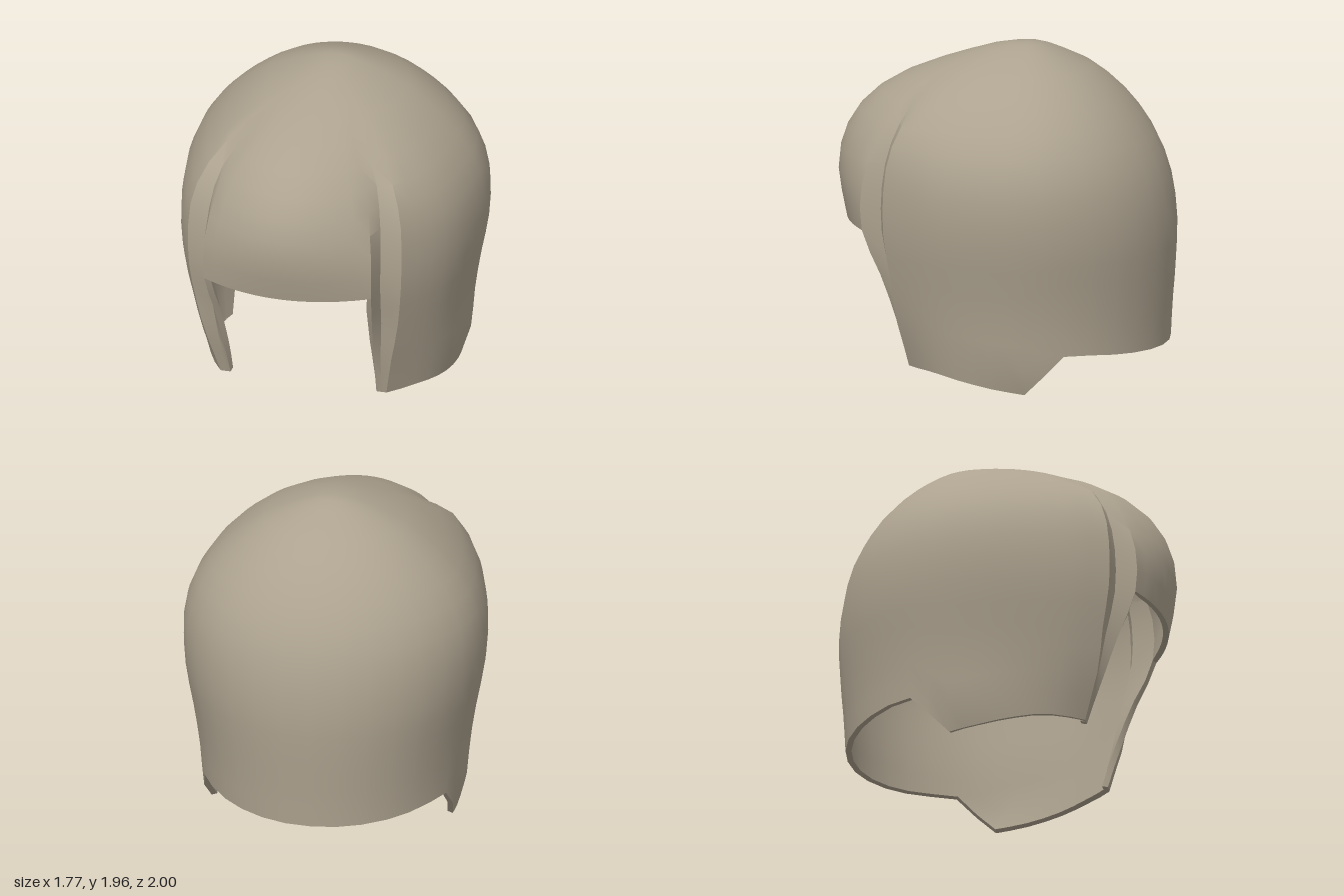
import * as THREE from 'three';
import { toCreasedNormals } from 'three/addons/utils/BufferGeometryUtils.js';

const TOP = 1.96, BROW = 0.9, MID_Z = -0.13, THICK = 0.035;

// Cross-sections: y, half width, back z, front z, brow edge x/z, cheek ridge x/z, depth of groove between them
const SECTIONS = [
  [1.96, 0, -0.13, -0.13, 0, -0.13, 0, -0.13, 0],
  [1.9, 0.24, -0.33, 0.2, 0.08, 0.18, 0.14, 0.14, 0],
  [1.83, 0.4, -0.48, 0.4, 0.2, 0.33, 0.28, 0.25, 0],
  [1.7, 0.58, -0.65, 0.69, 0.32, 0.54, 0.43, 0.42, 0.01],
  [1.55, 0.73, -0.78, 0.87, 0.42, 0.66, 0.55, 0.57, 0.025],
  [1.37, 0.84, -0.89, 0.97, 0.47, 0.76, 0.62, 0.65, 0.04],
  [1.17, 0.885, -0.96, 1.0, 0.5, 0.82, 0.64, 0.68, 0.05],
  [0.9, 0.875, -0.995, 0.95, 0.5, 0.82, 0.635, 0.68, 0.05],
  [0.6, 0.82, -0.985, 0.9, 0.47, 0.7, 0.6, 0.635, 0.03],
  [0.4, 0.79, -0.97, 0.9, 0.455, 0.63, 0.56, 0.61, 0.02],
  [0.1, 0.76, -0.955, 0.9, 0.44, 0.53, 0.5, 0.53, 0],
  [0, 0.72, -0.95, 0.9, 0.44, 0.51, 0.48, 0.52, 0],
];
const param = (y) => Math.sqrt(Math.max(0, TOP - y));

// Smooth interpolation between cross-sections
function section(y) {
  const s = param(y), n = SECTIONS.length;
  let i = 0;
  while (i < n - 2 && s > param(SECTIONS[i + 1][0])) i++;
  const at = (k) => SECTIONS[Math.min(n - 1, Math.max(0, k))];
  const p = [at(i - 1), at(i), at(i + 1), at(i + 2)], q = p.map((r) => param(r[0]));
  const h = q[2] - q[1], t = (s - q[1]) / h;
  return p[1].map((_, k) => {
    const m1 = (p[2][k] - p[0][k]) / (q[2] - q[0]) * h;
    const m2 = (p[3][k] - p[1][k]) / (q[3] - q[1]) * h;
    return (2 * t ** 3 - 3 * t * t + 1) * p[1][k] + (t ** 3 - 2 * t * t + t) * m1
      + (3 * t * t - 2 * t ** 3) * p[2][k] + (t ** 3 - t * t) * m2;
  });
}

// Point on the outer surface for one column at height y
function surfacePoint({ kind, u, sign }, y) {
  const [, hw, zb, zf, vx, vz, rx, rz, groove] = section(y);
  let x, z;
  if (kind === 'brow') {
    x = vx * u;
    z = zf - (zf - vz) * u * u;
  } else if (kind === 'groove') {
    x = (vx + rx) / 2 - groove;
    z = (vz + rz) / 2 - groove;
  } else if (kind === 'side') {
    const a0 = Math.asin(Math.min(0.99, rx / hw)), a = a0 + (Math.PI / 2 - a0) * u;
    x = hw * Math.sin(a);
    z = MID_Z + (rz - MID_Z) * Math.cos(a) / Math.cos(a0);
  } else {
    x = hw * Math.cos(u);
    z = MID_Z + (zb - MID_Z) * Math.sin(u);
  }
  // The front leans slightly to one side
  x *= sign;
  const k = THREE.MathUtils.smoothstep(z, 0.2, 0.7);
  return new THREE.Vector3(x - 0.02 * k, y, z - 0.07 * x * k);
}

// Lower edge height by depth
const HEM = [[0.53, 0.1], [0.33, 0.1], [-0.03, 0.03], [-0.22, 0], [-0.46, 0.25], [-0.95, 0.2]];
function hemHeight(z) {
  if (z >= HEM[0][0]) return HEM[0][1];
  for (let i = 1; i < HEM.length; i++) {
    const [z0, y0] = HEM[i - 1], [z1, y1] = HEM[i];
    if (z >= z1) return y0 + (y1 - y0) * (z - z0) / (z1 - z0);
  }
  return 0.2;
}

// Columns run from the brow centre round the +x side to the back, then home again
function makeColumns() {
  const half = [];
  for (let i = 0; i <= 6; i++) half.push({ kind: 'brow', u: i / 6, lower: i === 6 });
  half.push({ kind: 'groove', u: 0, lower: true });
  for (let i = 0; i < 7; i++) half.push({ kind: 'side', u: i / 7, lower: true });
  for (const u of [0, 0.105, 0.25, 0.394, 0.59, 0.79, 0.98, 1.18, 1.375, Math.PI / 2]) {
    half.push({ kind: 'back', u, lower: true });
  }
  return [
    ...half.map((c) => ({ ...c, sign: 1 })),
    ...half.slice(1, -1).reverse().map((c) => ({ ...c, sign: -1 })),
  ];
}

// Gives an open sheet an inner face and a rim along every free edge
function thicken(points, faces, depth) {
  const g = new THREE.BufferGeometry().setFromPoints(points);
  g.setIndex(faces.flat());
  g.computeVertexNormals();
  const n = points.length, normal = g.attributes.normal;
  const inner = points.map((p, i) =>
    p.clone().addScaledVector(new THREE.Vector3().fromBufferAttribute(normal, i), -depth));
  const edges = new Set();
  for (const [a, b, c] of faces) for (const [p, q] of [[a, b], [b, c], [c, a]]) edges.add(p + '_' + q);
  const all = [...faces, ...faces.map(([a, b, c]) => [a + n, c + n, b + n])];
  for (const e of edges) {
    const [a, b] = e.split('_').map(Number);
    if (!edges.has(b + '_' + a)) all.push([b, a, a + n], [b, a + n, b + n]);
  }
  const solid = new THREE.BufferGeometry().setFromPoints([...points, ...inner]);
  solid.setIndex(all.flat());
  return solid;
}

function shellGeometry() {
  const columns = makeColumns(), UPPER = 12, LOWER = 6;
  const points = [new THREE.Vector3(0, TOP, MID_Z)], faces = [];
  const ids = columns.map((col) => {
    const list = [0];
    const add = (y) => list.push(points.push(surfacePoint(col, y)) - 1);
    for (let r = 1; r <= UPPER; r++) add(BROW + (TOP - BROW) * Math.cos(r / UPPER * Math.PI / 2));
    if (col.lower) {
      let hem = 0.1;
      for (let i = 0; i < 6; i++) hem = hemHeight(surfacePoint(col, hem).z);
      for (let r = 1; r <= LOWER; r++) add(BROW + (hem - BROW) * r / LOWER);
    }
    return list;
  });
  ids.forEach((a, c) => {
    const b = ids[(c + 1) % ids.length];
    const rows = Math.min(a.length, b.length) - 1;
    for (let r = 0; r < rows; r++) {
      faces.push([a[r], a[r + 1], b[r + 1]]);
      if (r > 0) faces.push([a[r], b[r + 1], b[r]]);
    }
  });
  return toCreasedNormals(thicken(points, faces, THICK), 0.6);
}

export function createModel() {
  const group = new THREE.Group();
  group.name = 'openFaceHood';
  const clay = new THREE.MeshStandardMaterial({ color: 0xada28f });
  clay.name = 'warm grey';
  const shell = new THREE.Mesh(shellGeometry(), clay);
  shell.name = 'hoodShell';
  group.add(shell);
  return group;
}
